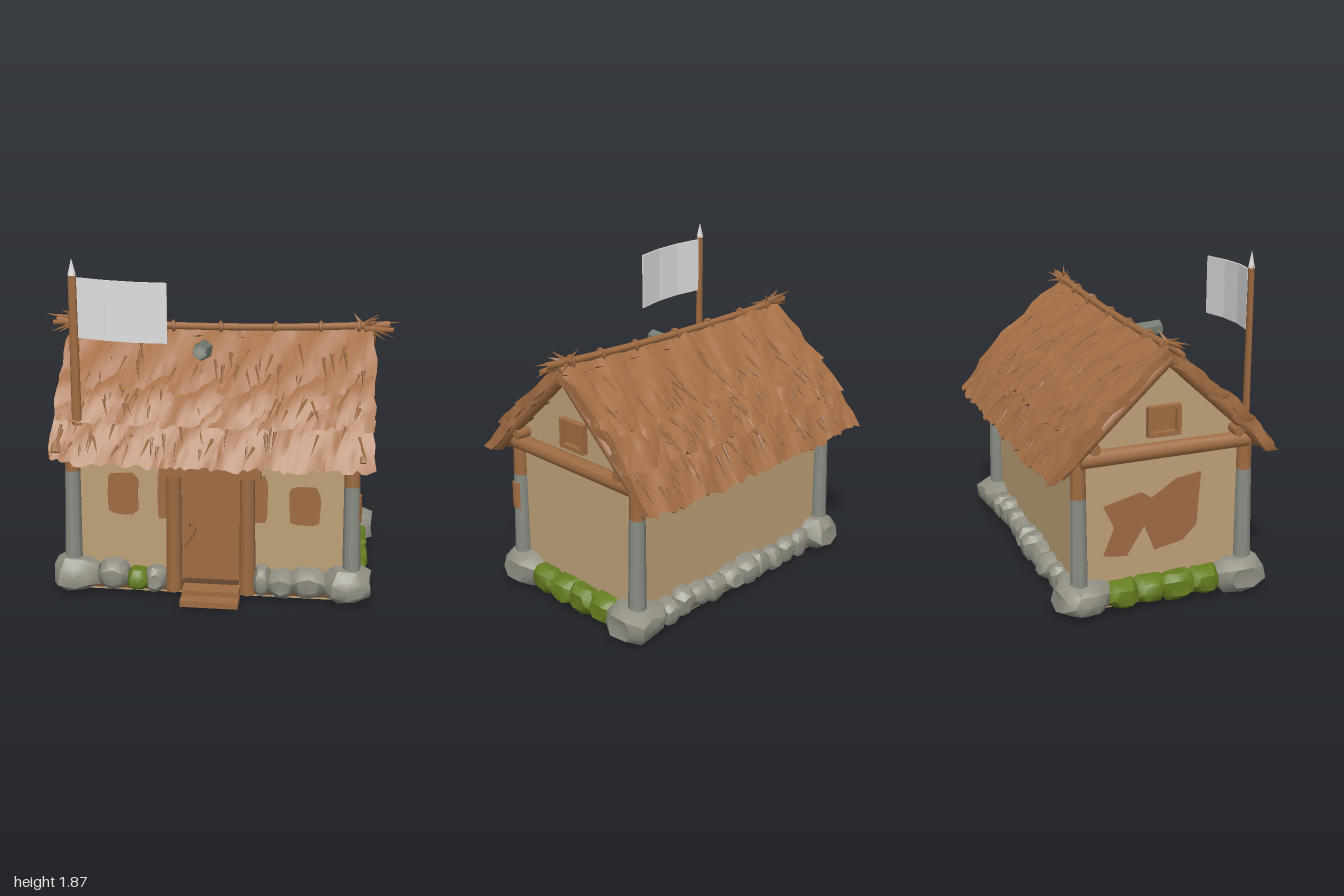
import * as THREE from 'three';
import { mergeGeometries, toCreasedNormals } from 'three/addons/utils/BufferGeometryUtils.js';

const paint = (name, color, extra = {}) => Object.assign(new THREE.MeshStandardMaterial({ color, ...extra }), { name });
const V = (x, y, z) => new THREE.Vector3(x, y, z);

export function createModel() {
  const model = new THREE.Group();
  model.name = 'thatchedCottage';
  const thatch = paint('thatch', 0xa46e44);
  const wood = paint('wood', 0xa06c42);
  const plaster = paint('plaster', 0xbea178);
  const stone = paint('stone', 0x929084);
  const moss = paint('moss', 0x667f20);
  const grey = paint('weatheredPaint', 0x8a8e84);
  const slate = paint('slate', 0x727a70, { flatShading: true });
  const cloth = paint('cloth', 0xdededf);
  const earth = paint('earth', 0x6a4a32);

  let seed = 7;
  const rnd = () => (seed = (seed * 16807) % 2147483647) / 2147483647;
  const jit = (a) => (rnd() * 2 - 1) * a;

  const add = (name, geo, mat, x = 0, y = 0, z = 0) => {
    const m = new THREE.Mesh(geo, mat);
    m.name = name;
    m.position.set(x, y, z);
    model.add(m);
    return m;
  };
  const box = (name, mat, w, h, d, x, y, z) => add(name, new THREE.BoxGeometry(w, h, d), mat, x, y, z);
  // Tapered bar between two points
  const barGeo = (a, b, r0, r1, sides = 8) => {
    const d = b.clone().sub(a);
    const g = new THREE.CylinderGeometry(r1, r0, d.length(), sides);
    g.applyQuaternion(new THREE.Quaternion().setFromUnitVectors(V(0, 1, 0), d.normalize()));
    const m = a.clone().add(b).multiplyScalar(0.5);
    return g.translate(m.x, m.y, m.z);
  };
  const bar = (name, mat, a, b, r0, r1 = r0, sides = 8) => add(name, barGeo(a, b, r0, r1, sides), mat);

  // Walls with gables, floor and earth skirt
  const section = new THREE.Shape([[-0.455, 0.03], [0.455, 0.03], [0.455, 0.94], [0, 1.365], [-0.455, 0.94]]
    .map(([x, y]) => new THREE.Vector2(x, y)));
  const walls = new THREE.ExtrudeGeometry(section, { depth: 1.51, bevelEnabled: false });
  add('walls', walls.translate(0, 0, -0.755).rotateY(Math.PI / 2), plaster);
  box('floor', plaster, 1.5, 0.02, 0.96, 0, 0.022, 0);
  box('earthSkirt', earth, 1.53, 0.03, 0.98, 0, 0.042, 0);

  // Worn patches on the walls
  const patch = (pts, x, y, z, ry) => {
    const g = new THREE.ExtrudeGeometry(new THREE.Shape(pts), { depth: 0.006, bevelEnabled: false });
    add('wornPatch', g, wood, x, y, z).rotation.y = ry;
  };
  const blob = (w, h) => Array.from({ length: 20 }, (_, i) => {
    const a = i / 20 * Math.PI * 2, c = Math.cos(a), s = Math.sin(a), k = 1 + jit(0.06);
    return new THREE.Vector2(w / 2 * Math.sign(c) * Math.abs(c) ** 0.4 * k, h / 2 * Math.sign(s) * Math.abs(s) ** 0.4 * k);
  });
  for (const [x, y, w, h] of [[-0.485, 0.575, 0.17, 0.24], [0.51, 0.54, 0.165, 0.22], [-0.25, 0.57, 0.09, 0.27], [0.26, 0.57, 0.1, 0.27]])
    patch(blob(w, h), x, y, 0.455, 0);
  patch([[-0.33, 0.32], [-0.2, 0.3], [-0.1, 0.46], [-0.04, 0.31], [0.12, 0.34], [0.2, 0.42], [0.22, 0.72], [0.08, 0.7], [-0.06, 0.61], [-0.12, 0.65], [-0.33, 0.6], [-0.27, 0.47]]
    .map(([x, y]) => new THREE.Vector2(x, y)), -0.755, 0, 0, -Math.PI / 2);
  patch(blob(0.09, 0.05), -0.59, 0.86, -0.455, Math.PI);

  // Corner posts, gable beams, rafters and gable windows
  for (const s of [-1, 1]) {
    for (const f of [-1, 1]) {
      const a = V(s * 0.772, 0.1, f * 0.472), b = V(s * 0.757, 0.92, f * 0.468);
      const m = a.clone().lerp(b, s * f > 0 ? 0.7 : 0.74);
      bar('postPaintedPart', grey, a, m, 0.05, 0.043);
      bar('postBarePart', wood, m, b, 0.043, 0.042);
      bar('rafter', wood, V(s * 0.82, 1.385, 0), V(s * 0.82, 0.83, f * 0.59), 0.037, 0.034);
      bar('purlin', wood, V(s * 0.7, 0.945, f * 0.4), V(s * 0.84, 0.945, f * 0.4), 0.03);
    }
    bar('gableBeam', wood, V(s * 0.78, 0.88, -0.47), V(s * 0.78, 0.88, 0.47), 0.047, 0.045);
    for (const f of [-1, 1]) {
      box('windowJamb', wood, 0.05, 0.16, 0.024, s * 0.765, 1.035, f * 0.08 - 0.003);
      box('windowRail', wood, 0.05, 0.024, 0.184, s * 0.765, 1.035 + f * 0.07, -0.003);
    }
    box('windowPane', wood, 0.008, 0.12, 0.14, s * 0.757, 1.035, -0.003);
  }
  // Bare spot on the front post
  add('postBareSpot', new THREE.CylinderGeometry(0.05, 0.052, 0.15, 8, 1, false, 0.8, 1.5), wood, 0.765, 0.55, 0.471);

  // Door, frame, handle and steps
  box('door', wood, 0.32, 0.61, 0.03, 0, 0.405, 0.465);
  for (const s of [-1, 1]) bar('doorPost', wood, V(s * 0.205, 0.03, 0.485), V(s * 0.2, 0.72, 0.485), 0.046, 0.04, 7);
  box('doorLintel', wood, 0.55, 0.075, 0.085, 0, 0.745, 0.49);
  box('doorSill', earth, 0.31, 0.025, 0.06, 0, 0.09, 0.47);
  const grip = new THREE.CatmullRomCurve3([V(-0.115, 0.41, 0.48), V(-0.1, 0.435, 0.51), V(-0.075, 0.42, 0.51), V(-0.085, 0.385, 0.505), V(-0.15, 0.28, 0.485)]);
  add('doorHandle', new THREE.TubeGeometry(grip, 14, 0.006, 5), wood);
  box('lowerStep', wood, 0.315, 0.035, 0.13, 0.012, 0.037, 0.615);
  box('upperStep', wood, 0.31, 0.03, 0.1, 0.012, 0.07, 0.56);

  // Foundation stones
  const rock = (name, mat, x, y, z, w, h, d) => {
    const g = new THREE.IcosahedronGeometry(1, 1), p = g.attributes.position, k = rnd() * 9;
    for (let i = 0; i < p.count; i++) {
      const v = V().fromBufferAttribute(p, i);
      const round = (Math.abs(v.x) ** 6 + Math.abs(v.y) ** 6 + Math.abs(v.z) ** 6) ** (-1 / 6);
      const n = 0.07 * Math.sin(4 * v.x + k) + 0.06 * Math.sin(5 * v.y - 3 * v.z + 2 * k);
      v.multiplyScalar(round * (0.97 + n));
      p.setXYZ(i, v.x * w / 2, v.y * h / 2, v.z * d / 2);
    }
    return add(name, toCreasedNormals(g, 0.6), mat, x, y, z);
  };
  for (const s of [-1, 1]) {
    for (const f of [-1, 1]) rock('cornerStone', stone, s * 0.75, 0.105, f * 0.445, 0.27, 0.19, 0.28);
    for (let i = 0; i < 4; i++) rock('mossyStone', moss, s * 0.77, 0.1, 0.235 - i * 0.157, 0.17, 0.15, 0.195);
  }
  for (const [x, w, h, m] of [[-0.54, 0.18, 0.16, stone], [-0.4, 0.13, 0.12, moss], [-0.3, 0.11, 0.14, stone],
    [0.285, 0.1, 0.16, stone], [0.39, 0.17, 0.14, stone], [0.54, 0.18, 0.16, stone]])
    rock('frontStone', m, x, 0.03 + h / 2, 0.475, w, h, 0.17);
  for (let i = 0; i < 10; i++)
    rock('backStone', stone, -0.57 + i * 0.127, 0.095 + jit(0.015), -0.475 + jit(0.01), 0.135 + jit(0.02), 0.13 + jit(0.025), 0.14 + jit(0.03));

  // Thatch: one ragged layer lofted along x from a [z, y] slope profile
  const sag = (x) => 0.03 * (x * x - 0.3) + 0.008 * x;
  const layer = (curve, thick) => {
    const NX = 72, NV = 6, pos = [], idx = [];
    const endJit = Array.from({ length: 2 * (NV + 1) }, () => jit(0.012));
    for (let i = 0; i <= NX; i++) {
      const x = -0.855 + 1.71 * i / NX, ragged = jit(0.016);
      for (let k = 0; k < 2; k++) for (let j = 0; j <= NV; j++) {
        const t = j / NV, p = curve.getPoint(t), d = curve.getTangent(t);
        const n = 0.007 * Math.sin(x * 23 + j) + 0.005 * Math.sin(x * 51 - j * 2) + jit(0.005) - k * thick * (1 - 0.35 * t);
        const e = j === NV ? ragged + 0.008 * Math.sin(x * 17) + (1 - k) * 0.035 : 0;
        const ex = i === 0 ? endJit[j] : i === NX ? endJit[j + NV + 1] + 0.02 * t : 0;
        pos.push(x + ex, p.y + d.x * n + d.y * e + sag(x), p.x - d.y * n + d.x * e);
      }
    }
    const R = 2 * (NV + 1), at = (i, k, j) => i * R + k * (NV + 1) + j;
    const quad = (a, b, c, d) => idx.push(a, b, d, b, c, d);
    for (let i = 0; i < NX; i++) {
      for (let j = 0; j < NV; j++) {
        quad(at(i, 0, j), at(i, 0, j + 1), at(i + 1, 0, j + 1), at(i + 1, 0, j));
        quad(at(i + 1, 1, j), at(i + 1, 1, j + 1), at(i, 1, j + 1), at(i, 1, j));
      }
      quad(at(i, 0, NV), at(i, 1, NV), at(i + 1, 1, NV), at(i + 1, 0, NV));
    }
    for (let j = 0; j < NV; j++) {
      quad(at(0, 0, j), at(0, 1, j), at(0, 1, j + 1), at(0, 0, j + 1));
      quad(at(NX, 0, j + 1), at(NX, 1, j + 1), at(NX, 1, j), at(NX, 0, j));
    }
    const g = new THREE.BufferGeometry();
    g.setAttribute('position', new THREE.Float32BufferAttribute(pos, 3));
    g.setIndex(idx);
    return toCreasedNormals(g, 0.8);
  };
  const tiers = [
    [[[-0.01, 1.43], [0.18, 1.285], [0.34, 1.155]], 0.06],
    [[[0.24, 1.215], [0.38, 1.125], [0.49, 1.01]], 0.065],
    [[[0.4, 1.085], [0.52, 0.965], [0.63, 0.825]], 0.075],
  ];
  for (const turn of [0, Math.PI]) {
    for (const [profile, thick] of tiers) {
      const c = new THREE.SplineCurve(profile.map(([z, y]) => new THREE.Vector2(z, y)));
      // Loose straw lying on the layer
      const straws = Array.from({ length: 34 }, () => {
        const t = 0.25 + rnd() * 0.5, x = jit(0.82), p = c.getPoint(t), q = c.getPoint(Math.min(1, t + 0.22 + rnd() * 0.15));
        return barGeo(V(x, p.y + sag(x) - 0.004, p.x), V(x + jit(0.04), q.y + sag(x) + 0.008, q.x + 0.008), 0.011, 0.001, 4);
      });
      for (const [name, geo] of [['thatchLayer', layer(c, thick)], ['looseStraw', mergeGeometries(straws)]])
        add(name, geo, thatch, 0, 0, -0.012).rotation.y = turn;
    }
  }

  // Ridge pole with bindings and splayed twig ends
  const ridgeY = (x) => 1.432 + sag(x);
  const ridge = new THREE.CatmullRomCurve3([-0.94, -0.5, 0, 0.5, 0.94].map((x) => V(x, ridgeY(x), 0)));
  add('ridgePole', new THREE.TubeGeometry(ridge, 24, 0.021, 7), wood);
  for (const x of [-0.77, -0.55, -0.27, 0, 0.31, 0.56, 0.77])
    add('ridgeBinding', new THREE.TorusGeometry(0.025, 0.011, 5, 9).rotateY(Math.PI / 2 + jit(0.3)), wood, x, ridgeY(x), 0);
  for (const s of [-1, 1]) {
    const root = V(s * 0.79, 1.45, 0), twigs = [barGeo(root, V(s, 1.475, 0), 0.022, 0.001, 5)];
    for (let i = 0; i < 9; i++) {
      const a = i / 9 * Math.PI * 2 + 0.3, r = 0.06 + rnd() * 0.025;
      const reach = i % 3 === 2 ? -0.05 : 0.08 + rnd() * 0.09;
      twigs.push(barGeo(root, V(s * (0.79 + reach), 1.445 + Math.cos(a) * r, Math.sin(a) * r), 0.016, 0.001, 4));
    }
    add('ridgeTwigs', mergeGeometries(twigs), wood);
    bar('ridgeEnd', wood, V(s * 0.8, 1.435, 0.01), V(s * 0.96, 1.43, 0.012), 0.02, 0.014, 6);
  }

  // Stone smoke spout in the front slope
  bar('smokeSpout', slate, V(-0.083, 1.305, 0.08), V(-0.083, 1.335, 0.27), 0.06, 0.042, 6);
  bar('spoutMouth', stone, V(-0.083, 1.334, 0.267), V(-0.083, 1.335, 0.276), 0.028, 0.026, 6);

  // Flag pole, tip and bent cloth
  const pole = new THREE.CylinderGeometry(0.023, 0.027, 0.82, 8).scale(1, 1, 0.6);
  add('flagPole', pole, wood, -0.722, 1.38, 0.493);
  add('flagPoleTip', new THREE.ConeGeometry(0.025, 0.09, 6).scale(1, 1, 0.7), cloth, -0.722, 1.825, 0.493);
  const flag = new THREE.BoxGeometry(0.475, 0.32, 0.01, 3, 1, 1).translate(-0.4625, 1.602, 0);
  const fp = flag.attributes.position;
  for (let i = 0; i < fp.count; i++) {
    const t = (fp.getX(i) + 0.7) / 0.475;
    fp.setY(i, fp.getY(i) + 0.008 - 0.02 * t);
    fp.setZ(i, fp.getZ(i) + 0.489 + 0.033 * Math.sin(Math.PI * t));
  }
  add('flagCloth', toCreasedNormals(flag, 0.1), cloth);

  return model;
}
